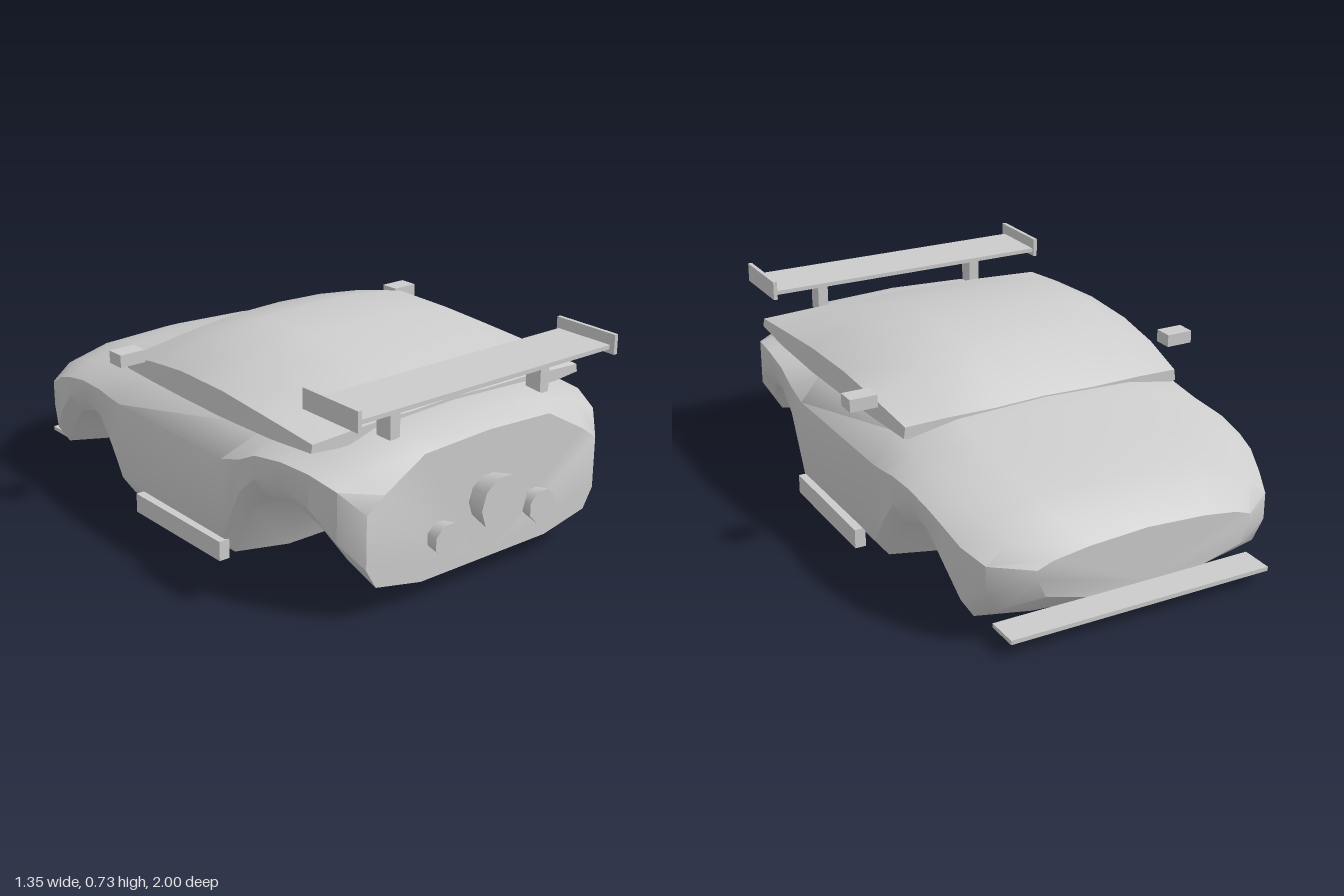
import * as THREE from 'three';
import { toCreasedNormals } from 'three/addons/utils/BufferGeometryUtils.js';

const material = new THREE.MeshStandardMaterial({ color: 0xcccccc, side: THREE.DoubleSide });

// Skin a list of { z, half } sections; half runs from bottom to top on the +x side.
function loft(sections, crease) {
  const rings = sections.map(({ z, half }) => {
    const left = half.filter(([x]) => x > 0).reverse().map(([x, y]) => [-x, y]);
    return [...half, ...left].map(([x, y]) => [x, y, z]);
  });
  const n = rings[0].length, index = [];
  for (let i = 0; i < rings.length - 1; i++) {
    for (let j = 0; j < n; j++) {
      const k = (j + 1) % n;
      const a = i * n + j, b = i * n + k, c = a + n, d = b + n;
      index.push(a, b, c, b, d, c);
    }
  }
  const last = (rings.length - 1) * n;
  for (let j = 1; j < n - 1; j++) {
    index.push(0, j + 1, j, last, last + j, last + j + 1);
  }
  const geometry = new THREE.BufferGeometry();
  geometry.setAttribute('position', new THREE.Float32BufferAttribute(rings.flat(2), 3));
  geometry.setIndex(index);
  return toCreasedNormals(geometry, crease);
}

export function createModel() {
  const model = new THREE.Group();
  model.name = 'raceCar';

  const add = (name, geometry) => {
    const mesh = new THREE.Mesh(geometry, material);
    mesh.name = name;
    model.add(mesh);
    return mesh;
  };
  // Box given by its limits along each axis
  const box = (name, [x0, x1], [y0, y1], [z0, z1]) =>
    add(name, new THREE.BoxGeometry(x1 - x0, y1 - y0, z1 - z0))
      .position.set((x0 + x1) / 2, (y0 + y1) / 2, (z0 + z1) / 2);
  const boxPair = (name, [x0, x1], y, z) => {
    box(name + 'Left', [x0, x1], y, z);
    box(name + 'Right', [-x1, -x0], y, z);
  };

  // Body: z, half width, underside, shoulder, upper flank, top
  const bodyRows = [
    [-1.00, 0.40, 0.14, 0.28, 0.30, 0.33],
    [-0.91, 0.53, 0.08, 0.285, 0.345, 0.40],
    [-0.82, 0.57, 0.025, 0.32, 0.385, 0.435],
    [-0.74, 0.592, 0.13, 0.365, 0.42, 0.46],
    [-0.66, 0.602, 0.205, 0.39, 0.44, 0.48],
    [-0.55, 0.61, 0.24, 0.41, 0.46, 0.503],
    [-0.43, 0.614, 0.195, 0.41, 0.48, 0.525],
    [-0.36, 0.616, 0.11, 0.40, 0.49, 0.537],
    [-0.29, 0.618, 0.005, 0.395, 0.495, 0.54],
    [0.32, 0.62, 0, 0.39, 0.495, 0.55],
    [0.42, 0.62, 0.20, 0.42, 0.495, 0.56],
    [0.50, 0.62, 0.27, 0.46, 0.50, 0.57],
    [0.63, 0.616, 0.295, 0.48, 0.505, 0.575],
    [0.75, 0.602, 0.25, 0.475, 0.505, 0.575],
    [0.85, 0.57, 0.16, 0.44, 0.48, 0.565],
    [0.92, 0.51, 0.075, 0.37, 0.42, 0.525],
  ];
  add('body', loft(bodyRows.map(([z, w, b, shoulder, upper, top]) => ({
    z,
    half: [
      [0, b], [0.55 * w, b], [0.92 * w, b + 0.04], [w, b + 0.11], [w, shoulder],
      [0.86 * w, upper], [0.54 * w, top - 0.012], [0, top],
    ],
  })), 0.7));

  // Cabin: z, sill half width, sill height, belt height, roof edge x and y, roof height
  const cabinRows = [
    [-0.36, 0.535, 0.495, 0.535, 0.38, 0.538, 0.542],
    [-0.17, 0.56, 0.505, 0.575, 0.38, 0.655, 0.682],
    [0.03, 0.575, 0.51, 0.60, 0.41, 0.695, 0.725],
    [0.28, 0.587, 0.515, 0.605, 0.41, 0.692, 0.72],
    [0.55, 0.592, 0.525, 0.587, 0.38, 0.637, 0.652],
    [0.75, 0.59, 0.54, 0.568, 0.32, 0.58, 0.586],
  ];
  add('cabin', loft(cabinRows.map(([z, w, sill, belt, rx, ry, top]) => ({
    z,
    half: [
      [0, sill - 0.01], [0.48, sill - 0.01], [w, sill], [w - 0.005, belt],
      [rx, ry], [rx / 2, top - 0.006], [0, top],
    ],
  })), 0.7));

  // Rear wing
  box('wingBlade', [-0.56, 0.56], [0.675, 0.69], [0.69, 0.92]);
  boxPair('wingEndPlate', [0.552, 0.567], [0.66, 0.73], [0.68, 0.94]);
  boxPair('wingStrut', [0.31, 0.35], [0.55, 0.677], [0.775, 0.84]);

  // Mirrors, side skirts and front splitter
  boxPair('mirror', [0.575, 0.675], [0.575, 0.62], [-0.25, -0.18]);
  boxPair('sideSkirt', [0.60, 0.64], [0.03, 0.10], [-0.17, 0.33]);
  box('frontSplitter', [-0.49, 0.49], [0.045, 0.06], [-1, -0.88]);

  // Flared exhaust nozzles pointing backwards
  const nozzle = (name, x, y, inner, outer, z1, sides, start) => {
    const geometry = new THREE.CylinderGeometry(outer, inner, z1 - 0.88, sides, 1, false, start);
    const mesh = add(name, geometry);
    mesh.rotation.x = Math.PI / 2;
    mesh.position.set(x, y, (z1 + 0.88) / 2);
  };
  nozzle('mainNozzle', 0, 0.295, 0.07, 0.1, 1, 10, Math.PI / 2);
  nozzle('sideNozzleLeft', 0.21, 0.217, 0.042, 0.06, 0.97, 8, Math.PI / 8);
  nozzle('sideNozzleRight', -0.21, 0.217, 0.042, 0.06, 0.97, 8, Math.PI / 8);

  return model;
}
